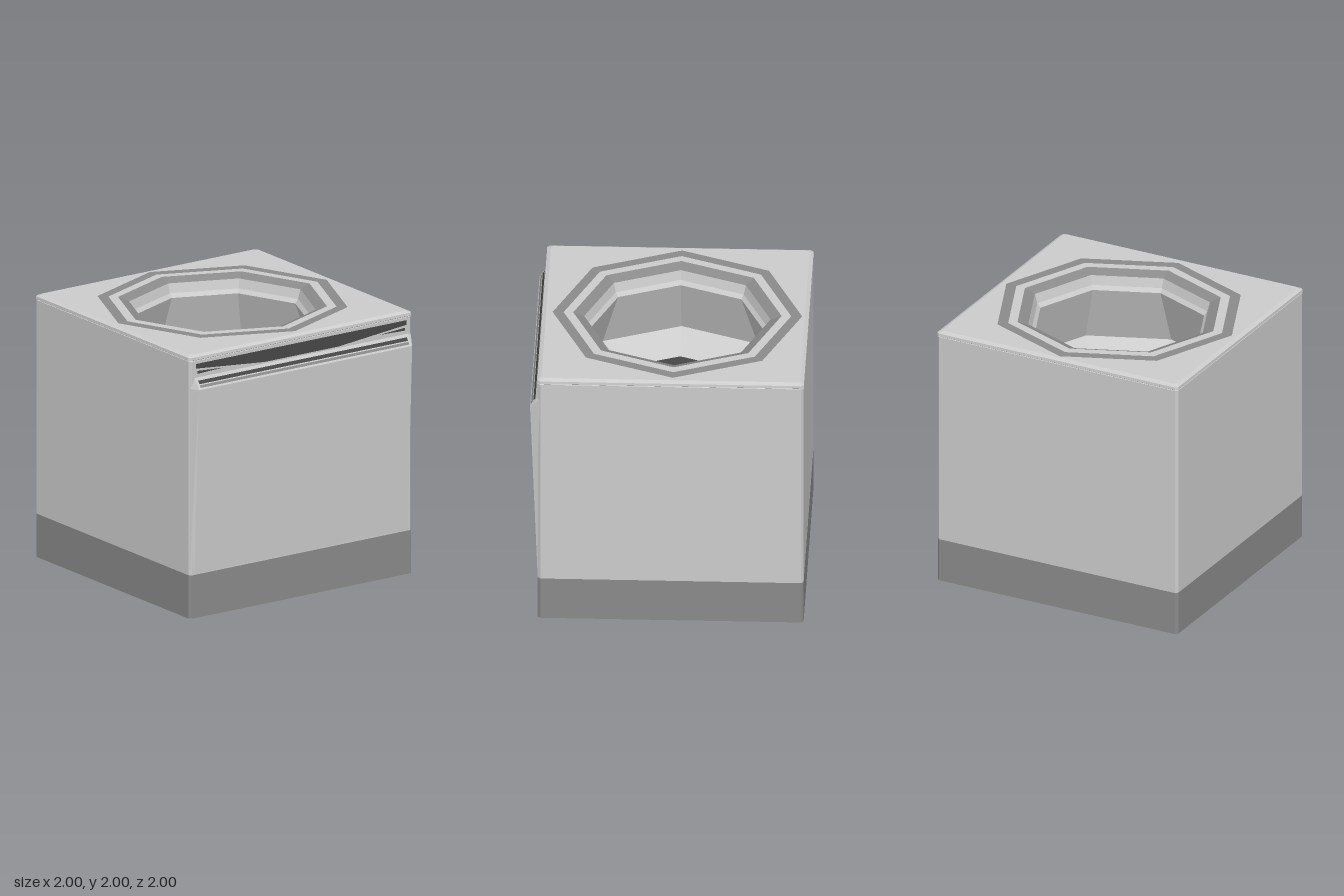
import * as THREE from 'three';

const LIGHT = 0xcccccc, MID = 0x8a8a8a, DARK = 0x474747;
const CX = -0.04; // bowl centre

function add(group, name, geometry, color) {
  const material = new THREE.MeshStandardMaterial({ color, flatShading: true });
  const mesh = new THREE.Mesh(geometry, material);
  mesh.name = name;
  group.add(mesh);
  return mesh;
}

// Skin a series of loops; each loop runs counter-clockwise seen from above.
function loft(loops, capStart = false, capEnd = false) {
  const n = loops[0].length, pos = loops.flat(2), index = [];
  for (let k = 0; k < loops.length - 1; k++) {
    for (let i = 0; i < n; i++) {
      const a = k * n + i, b = k * n + (i + 1) % n;
      index.push(a, b, b + n, a, b + n, a + n);
    }
  }
  const last = (loops.length - 1) * n;
  for (let i = 1; i < n - 1; i++) {
    if (capStart) index.push(0, i + 1, i);
    if (capEnd) index.push(last, last + i, last + i + 1);
  }
  const g = new THREE.BufferGeometry();
  g.setAttribute('position', new THREE.Float32BufferAttribute(pos, 3));
  g.setIndex(index);
  const flat = g.toNonIndexed();
  flat.computeVertexNormals();
  return flat;
}

// Rectangle with clipped corners, inset from the cabinet's footprint.
function boxLoop(y, inset, c = 0.02) {
  const l = -1 + inset, r = 0.947 - inset, d = 1 - inset;
  return [[r, d - c], [r, -d + c], [r - c, -d], [l + c, -d],
    [l, -d + c], [l, d - c], [l + c, d], [r - c, d]].map(([x, z]) => [x, y, z]);
}

// Octagon with its corners on the axes, slightly longer in z.
function octLoop(r, y) {
  return Array.from({ length: 8 }, (_, i) => {
    const a = i * Math.PI / 4;
    return [CX + r * Math.cos(a), y, -r * 1.026 * Math.sin(a)];
  });
}

// Flat piece on the right side from (z, y) corners; x follows y.
function sidePlate(points, xAt) {
  const g = new THREE.ShapeGeometry(new THREE.Shape(points.map(([z, y]) => new THREE.Vector2(-z, y))));
  const p = g.attributes.position;
  for (let i = 0; i < p.count; i++) {
    const z = -p.getX(i), y = p.getY(i);
    p.setXYZ(i, xAt(y), y, z);
  }
  g.computeVertexNormals();
  return g;
}

export function createModel() {
  const model = new THREE.Group();
  model.name = 'cabinetWithBowl';

  // Cabinet
  add(model, 'plinth', loft([boxLoop(0, 0.004), boxLoop(0.33, 0.004)], true), MID);
  add(model, 'body', loft([boxLoop(0.33, 0.004), boxLoop(1.945, 0.004)]), LIGHT);
  add(model, 'rim', loft([
    boxLoop(1.94, 0.02), boxLoop(1.945, 0.003), boxLoop(1.957, 0.003), boxLoop(1.96, 0.007),
    boxLoop(1.965, 0), boxLoop(1.985, 0.002), boxLoop(2, 0.03)]), LIGHT);

  // Flat top with an octagonal opening
  const top = new THREE.Shape(boxLoop(0, 0.03).map(([x, , z]) => new THREE.Vector2(x, -z)));
  top.holes.push(new THREE.Path(octLoop(0.91, 0).map(([x, , z]) => new THREE.Vector2(x, -z)).reverse()));
  const topGeometry = new THREE.ShapeGeometry(top);
  topGeometry.rotateX(-Math.PI / 2).translate(0, 2, 0);
  add(model, 'top', topGeometry, LIGHT);

  // Rings around the opening, then the undercut bowl
  add(model, 'outerRing', loft([octLoop(0.91, 2), octLoop(0.83, 2)]), MID);
  add(model, 'innerRing', loft([octLoop(0.83, 2), octLoop(0.76, 2)]), LIGHT);
  add(model, 'openingBevel', loft([octLoop(0.76, 2), octLoop(0.68, 1.97)]), MID);
  add(model, 'bowl', loft([
    octLoop(0.68, 1.97), octLoop(0.66, 1.9), octLoop(0.635, 1.87),
    octLoop(0.8, 1.43), octLoop(0.555, 1.32)]), LIGHT);
  add(model, 'bowlFloor', loft([octLoop(0.555, 1.32), octLoop(0.3, 1.32)], false, true), DARK);

  // Door on the right side, thickening towards its top
  const doorLoop = (x, y) => [[x, y, 0.955], [x, y, -0.955], [0.93, y, -0.99], [0.93, y, 0.99]];
  add(model, 'door', loft([
    doorLoop(0.945, 0.34), doorLoop(1, 1.75), doorLoop(0.945, 1.83)], true, true), LIGHT);

  // Grip slots on the door's sloping top edge
  const slope = (y) => 1.002 - (y - 1.75) * 0.6875;
  const band = (w, y0, y1) => [[w, y0], [-w, y0], [-w, y1], [w, y1]];
  add(model, 'doorSlot', sidePlate(band(0.935, 1.787, 1.81), slope), DARK);
  add(model, 'doorSlotLedge', sidePlate(band(0.935, 1.763, 1.78), slope), MID);

  // Dark recess under the rim
  const wall = () => 0.946;
  add(model, 'recess', sidePlate([[0.945, 1.9], [0.33, 1.842], [-0.33, 1.842],
    [-0.945, 1.9], [-0.945, 1.935], [0.945, 1.935]], wall), DARK);
  for (const s of [1, -1]) {
    const corners = [[0.93 * s, 1.858], [0.7 * s, 1.865], [0.93 * s, 1.88]];
    add(model, 'recessCorner', sidePlate(s > 0 ? corners : corners.reverse(), wall), DARK);
  }
  return model;
}
